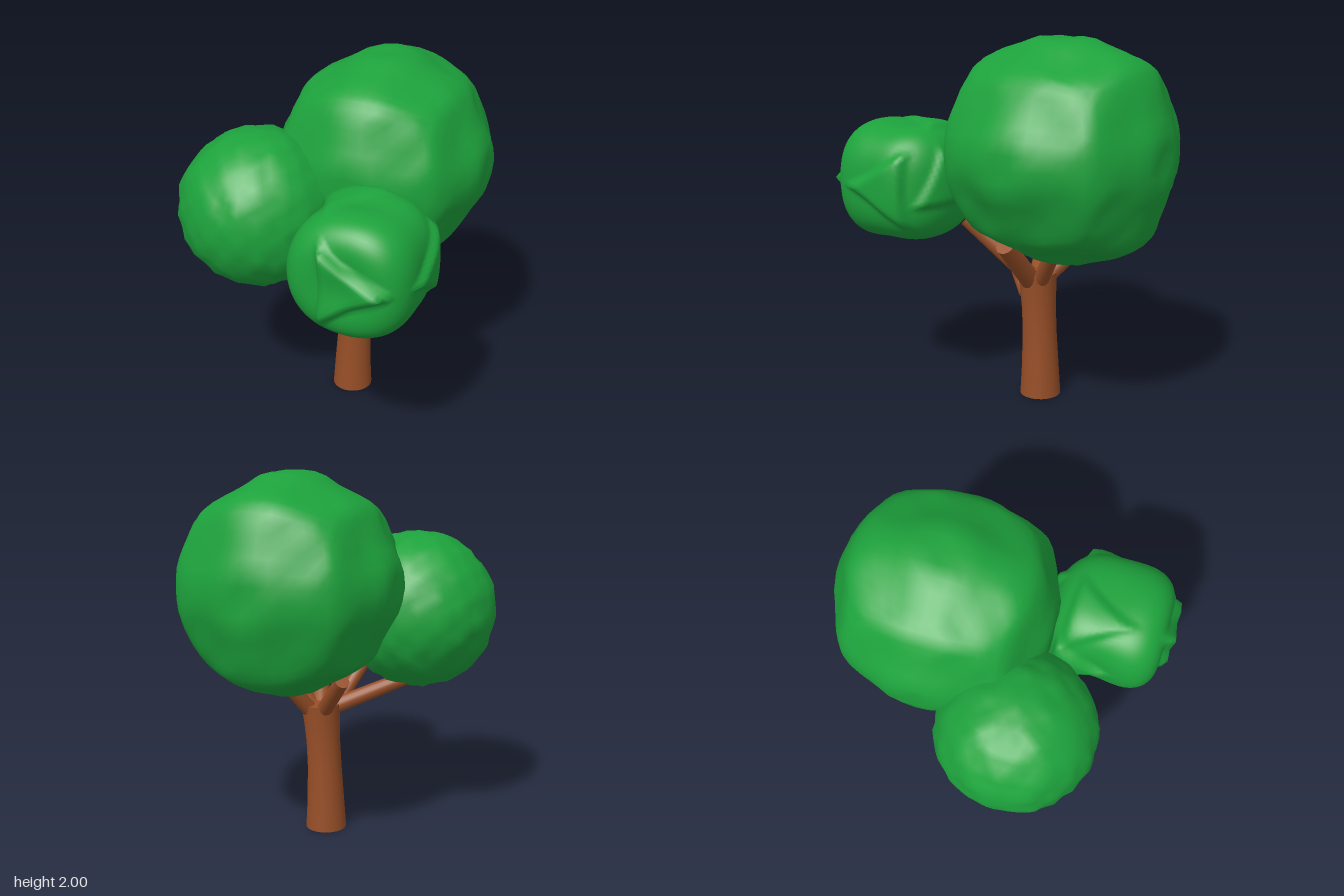
import * as THREE from 'three';
import { mergeVertices } from 'three/addons/utils/BufferGeometryUtils.js';

const bark = new THREE.MeshStandardMaterial({ color: 0x964e27 });
const leaf = new THREE.MeshStandardMaterial({ color: 0x1da23c });
const V = (x, y, z) => new THREE.Vector3(x, y, z);
const { smoothstep } = THREE.MathUtils;

// Smooth ball whose radius follows a rule of the direction
function foliage(name, geometry, center, radiusAt) {
  geometry.deleteAttribute('uv');
  geometry.deleteAttribute('normal');
  const g = mergeVertices(geometry, 1e-4);
  const p = g.attributes.position, d = V(0, 0, 0);
  for (let i = 0; i < p.count; i++) {
    d.fromBufferAttribute(p, i).normalize();
    const r = radiusAt(d);
    p.setXYZ(i, d.x * r, d.y * r, d.z * r);
  }
  g.computeVertexNormals();
  const mesh = new THREE.Mesh(g, leaf);
  mesh.name = name;
  mesh.position.copy(center);
  return mesh;
}

// Bulge towards the diagonals between two axes: 1 midway, 0 on either axis
const diagonal = (m, n) => 4 * m * m * n * n;

// Raised three-cornered patch around an axis, one corner pointing towards apex
function trianglePatch(axis, apex, height, size) {
  axis.normalize();
  const side = apex.clone().projectOnPlane(axis).normalize().negate();
  const sides = [0, 1, 2].map((k) => side.clone().applyAxisAngle(axis, (k * 2 * Math.PI) / 3));
  return (d) => {
    if (d.dot(axis) < 0) return 0;
    const reach = Math.max(...sides.map((s) => d.dot(s)));
    return height * (1 - smoothstep(reach, size, size + 0.14));
  };
}

// Tapered round limb between two points
function limb(name, a, b, r0, r1) {
  const mesh = new THREE.Mesh(new THREE.CylinderGeometry(r1, r0, a.distanceTo(b), 16), bark);
  mesh.name = name;
  mesh.position.copy(a).add(b).multiplyScalar(0.5);
  mesh.quaternion.setFromUnitVectors(V(0, 1, 0), b.clone().sub(a).normalize());
  return mesh;
}

export function createModel() {
  const tree = new THREE.Group();
  tree.name = 'tree';

  // Trunk: waisted profile that leans slightly as it rises
  const profile = [[0, 0], [0.113, 0], [0.104, 0.15], [0.095, 0.35], [0.094, 0.5], [0.1, 0.62], [0.108, 0.72], [0, 0.73]];
  const points = profile.flatMap(([r, y], i) => {
    const p = new THREE.Vector2(r, y);
    return i === 1 || i === 6 ? [p, p.clone()] : [p];
  });
  const trunkShape = new THREE.LatheGeometry(points, 28);
  const tp = trunkShape.attributes.position;
  for (let i = 0; i < tp.count; i++) tp.setX(i, tp.getX(i) + 0.06 * tp.getY(i) ** 2);
  const trunk = new THREE.Mesh(trunkShape, bark);
  trunk.name = 'trunk';
  trunk.position.set(0.083, 0, -0.11);
  tree.add(trunk);

  // Branches fanning out from the top of the trunk
  const branches = [
    ['frontBranch', V(0.12, 0.58, -0.04), V(-0.05, 0.97, 0.28), 0.04, 0.034],
    ['leftFrontBranch', V(0.13, 0.69, -0.07), V(0.27, 1.0, 0.25), 0.052, 0.045],
    ['leftBranch', V(0.15, 0.66, -0.1), V(0.4, 0.93, -0.1), 0.055, 0.052],
    ['rightBranch', V(0.09, 0.68, -0.09), V(-0.32, 0.86, 0.1), 0.046, 0.04],
    ['backRightBranch', V(0.1, 0.66, -0.13), V(-0.11, 0.92, -0.33), 0.044, 0.04],
    ['backLeftBranch', V(0.14, 0.66, -0.14), V(0.27, 0.93, -0.33), 0.044, 0.04],
  ];
  for (const b of branches) tree.add(limb(...b));

  // Large crown: each of its six sides has a dimpled cap inside a sunken ring; squarer seen from the side and above
  const rings = [[0, 0.568], [0.2, 0.59], [0.3, 0.58], [0.42, 0.56], [0.6, 0.565], [0.785, 0.578], [0.96, 0.565]];
  const hollow = V(1, 0.58, 0.48).normalize();
  tree.add(foliage('largeCrown', new THREE.BoxGeometry(2, 2, 2, 16, 16, 16), V(0.18, 1.42, -0.315), (d) => {
    const [a, b, c] = d.toArray().map(Math.abs).sort((m, n) => n - m);
    const angle = Math.acos(Math.min(a, 1));
    const i = Math.max(1, rings.findIndex(([t]) => t >= angle));
    const [[t0, r0], [t1, r1]] = [rings[i - 1], rings[i]];
    return r0 + (r1 - r0) * (angle - t0) / (t1 - t0)
      + 0.06 * diagonal(d.y, d.z) + 0.04 * diagonal(d.x, d.z)
      - 0.022 * smoothstep(V(a, b, c).dot(hollow), 0.965, 1);
  }));

  // Medium crown: nearly round with fine ripples
  tree.add(foliage('mediumCrown', new THREE.IcosahedronGeometry(1, 9), V(-0.335, 1.23, 0.215), (d) =>
    0.43 + 0.007 * (Math.sin(17 * d.x + 1) * Math.sin(16 * d.y) + Math.sin(18 * d.z + 2 * d.y) * Math.cos(15 * d.x))));

  // Small crown: lopsided boxy lump with raised three-cornered patches
  const patches = [
    trianglePatch(V(0, 0, 1), V(1, 0, 0), 0.065, 0.21),
    trianglePatch(V(1, 0, -0.2), V(0, 0, 1), 0.035, 0.25),
    trianglePatch(V(-0.45, 0.87, -0.2), V(0, 0, 1), 0.022, 0.24),
    trianglePatch(V(-1, 0, -0.35), V(0, 0, 1), 0.04, 0.2),
    trianglePatch(V(0.3, 0.05, -1), V(0, 1, 0), 0.025, 0.22),
  ];
  tree.add(foliage('smallCrown', new THREE.IcosahedronGeometry(1, 17), V(0.42, 1.215, 0.5), (d) =>
    0.305 + diagonal(d.y, d.z) * (0.065 + 0.04 * d.z)
      + diagonal(d.x, d.z) * (0.065 + 0.045 * d.z - 0.025 * d.x)
      + diagonal(d.x, d.y) * 0.035
      + patches.reduce((sum, patch) => sum + patch(d), 0)));

  return tree;
}
